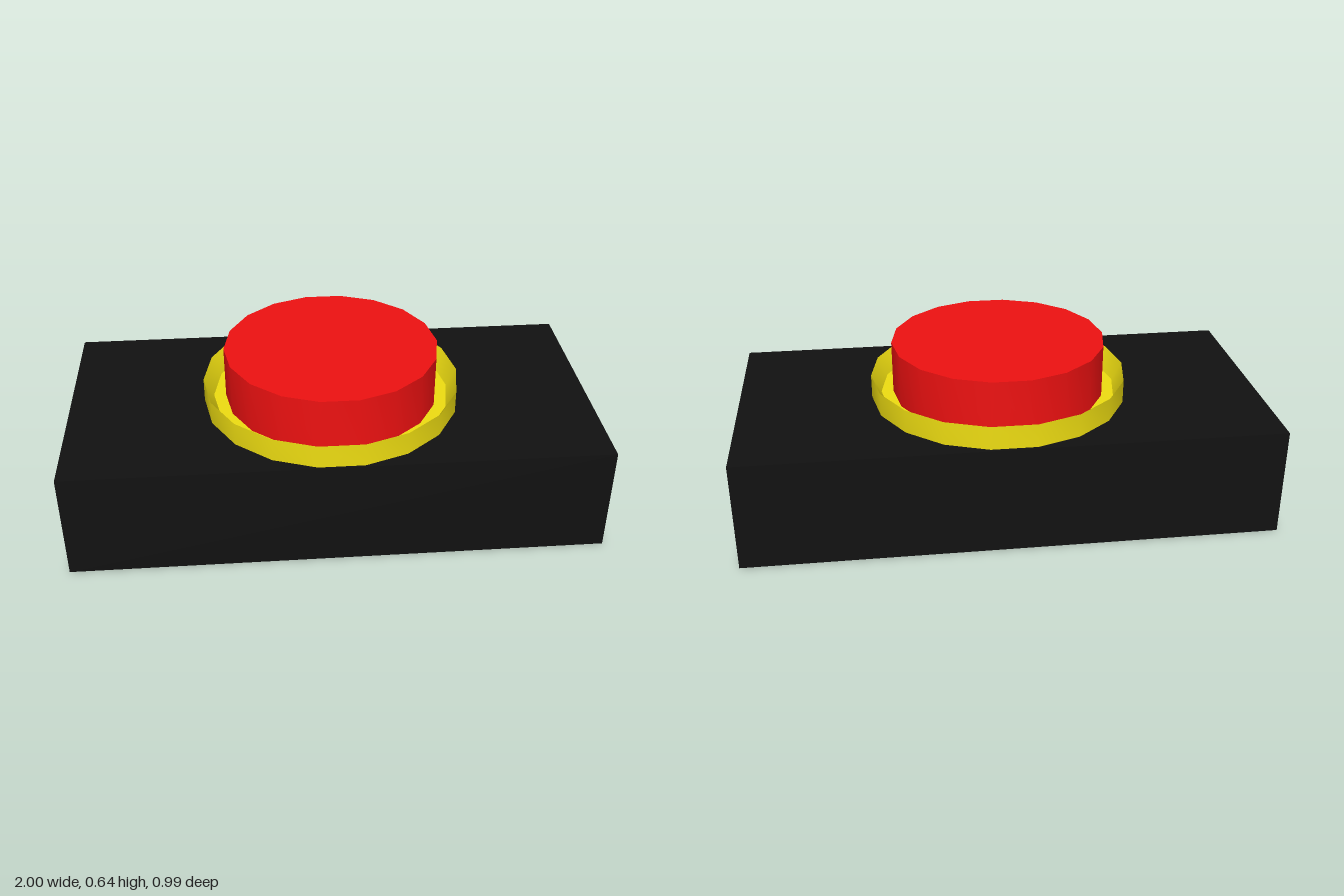
import * as THREE from 'three';
import { toCreasedNormals } from 'three/addons/utils/BufferGeometryUtils.js';

const SIDES = 18;

function part(name, geometry, color) {
  const mesh = new THREE.Mesh(geometry, new THREE.MeshStandardMaterial({ color }));
  mesh.name = name;
  return mesh;
}

// 18-sided turned shape with a corner on the x axis and crisp rims
function turned(profile) {
  const points = profile.map(([r, y]) => new THREE.Vector2(r, y));
  const geometry = new THREE.LatheGeometry(points, SIDES);
  geometry.rotateY(Math.PI / 2);
  return toCreasedNormals(geometry, 0.6);
}

export function createModel() {
  const model = new THREE.Group();
  model.name = 'pushButton';

  // Black housing
  const base = part('base', new THREE.BoxGeometry(2, 0.415, 0.985), 0x111111);
  base.position.y = 0.2075;
  model.add(base);

  // Yellow collar: upright outside, inner slope down to a flat floor
  const collar = part('collar', turned([
    [0.49, 0.415], [0.49, 0.505], [0.453, 0.435], [0, 0.435],
  ]), 0xeedd11);

  // Red push cap
  const cap = part('cap', turned([
    [0.407, 0.435], [0.407, 0.637], [0, 0.637],
  ]), 0xee1111);

  for (const mesh of [collar, cap]) {
    mesh.position.set(0.004, 0, 0.002);
    model.add(mesh);
  }
  return model;
}
